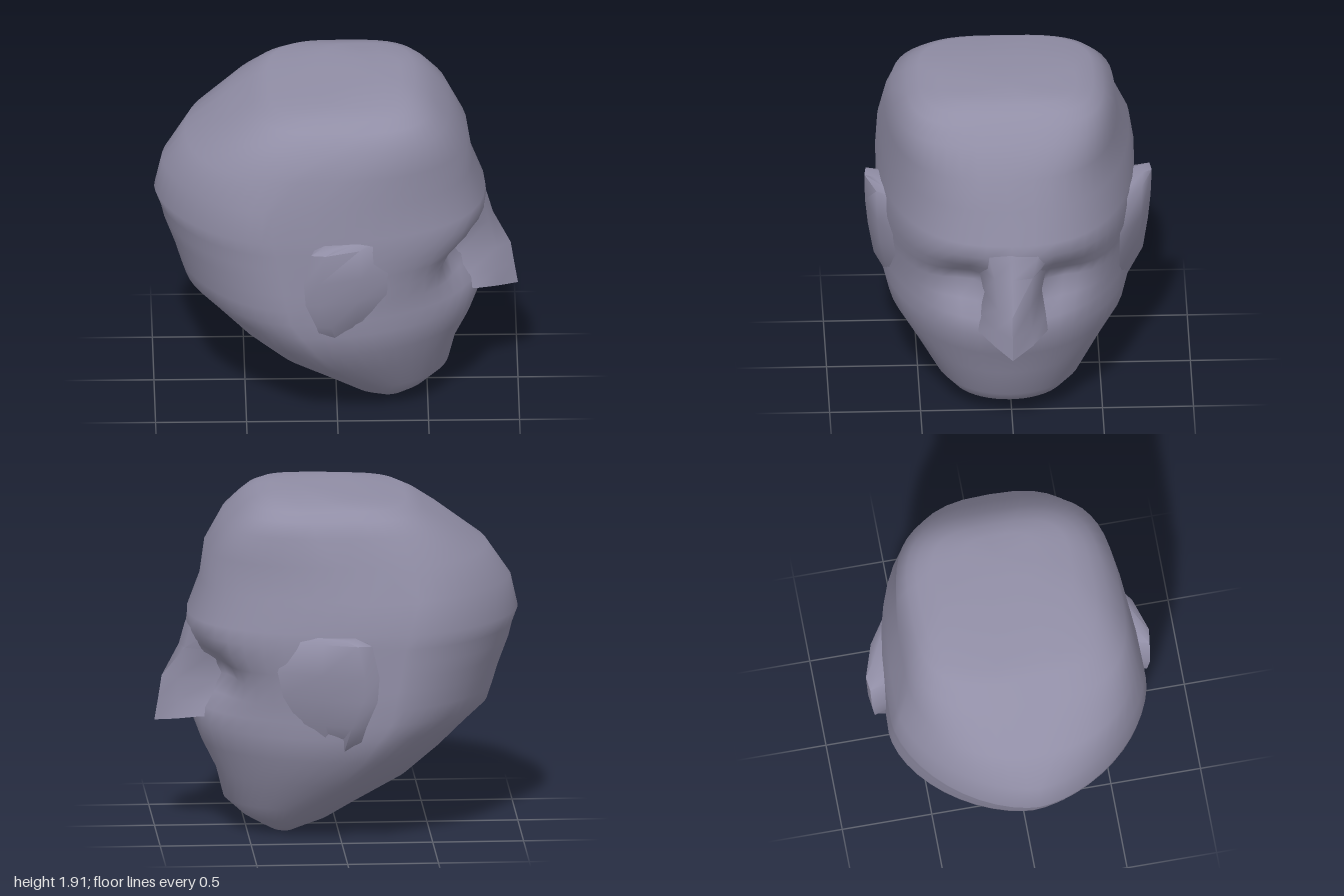
import * as THREE from 'three';
import { toCreasedNormals } from 'three/addons/utils/BufferGeometryUtils.js';

// Skin closed rings of [x, y, z], listed bottom to top, and cap both ends
function loft(rings) {
  const n = rings[0].length, pos = rings.flat(2), idx = [];
  for (let i = 0; i < rings.length - 1; i++) {
    for (let j = 0; j < n; j++) {
      const a = i * n + j, b = i * n + (j + 1) % n;
      idx.push(a, a + n, b, b, a + n, b + n);
    }
  }
  [0, rings.length - 1].forEach((r, end) => {
    const c = pos.length / 3;
    for (let k = 0; k < 3; k++) pos.push(rings[r].reduce((s, p) => s + p[k], 0) / n);
    for (let j = 0; j < n; j++) {
      const a = r * n + j, b = r * n + (j + 1) % n;
      if (end) idx.push(a, c, b); else idx.push(a, b, c);
    }
  });
  const g = new THREE.BufferGeometry();
  g.setAttribute('position', new THREE.Float32BufferAttribute(pos, 3));
  g.setIndex(idx);
  g.computeVertexNormals();
  return g;
}

// Skull and jaw levels: y, back x, front x, half width
const levels = [
  [0.005, 0.22, 0.38, 0.18],
  [0.03, 0.16, 0.43, 0.23],
  [0.08, 0.03, 0.52, 0.31],
  [0.17, -0.12, 0.62, 0.40],
  [0.33, -0.40, 0.66, 0.53],
  [0.49, -0.59, 0.74, 0.65],
  [0.62, -0.73, 0.79, 0.69],
  [0.71, -0.83, 0.80, 0.70],
  [0.80, -0.86, 0.80, 0.71],
  [0.90, -0.89, 0.80, 0.71],
  [0.98, -0.92, 0.81, 0.71],
  [1.06, -0.95, 0.83, 0.71],
  [1.14, -0.97, 0.83, 0.71],
  [1.22, -1.00, 0.82, 0.71],
  [1.40, -0.96, 0.75, 0.69],
  [1.58, -0.83, 0.72, 0.64],
  [1.74, -0.59, 0.62, 0.61],
  [1.82, -0.47, 0.54, 0.54],
  [1.865, -0.38, 0.49, 0.48],
  [1.895, -0.10, 0.43, 0.38],
  [1.912, 0.08, 0.36, 0.2],
];

function headRing([y, back, front, w]) {
  const ring = [], n = 48, step = THREE.MathUtils.smoothstep;
  // Rounded jaw, tapered back of the skull and boxy crown
  const crown = step(y, 1.4, 1.87);
  const frontPow = 2 + 0.5 * step(y, 0.7, 1.2) + 0.8 * crown;
  const backPow = 2.1 - 0.4 * step(y, 0.1, 0.7) + 1.5 * crown;
  const mid = back + (front - back) * (0.45 - 0.1 * step(y, 0, 0.6) + 0.13 * crown);
  const shift = 0.01 + 0.03 * Math.exp(-(((y - 1.62) / 0.2) ** 2));
  for (let j = 0; j < n; j++) {
    const t = (j / n) * Math.PI * 2, c = Math.cos(t), s = Math.sin(t);
    const e = 2 / (c > 0 ? frontPow : backPow);
    const reach = c > 0 ? front - mid : mid - back;
    let x = mid + Math.sign(c) * Math.abs(c) ** e * reach;
    const z = shift + Math.sign(s) * Math.abs(s) ** e * w;
    // Eye sockets, fading gently toward the temples
    const d = Math.abs(z) - 0.22;
    if (x > 0.2) x -= 0.16 * Math.exp(-((d / (d > 0 ? 0.22 : 0.14)) ** 2) - ((y - 0.91) / 0.15) ** 2);
    ring.push([x, y, z]);
  }
  return ring;
}

// Nose levels: ridge y, side y, ridge x, shoulder x, root x, half width
function noseGeometry() {
  const rows = [
    [0.6, 0.66, 1.0, 0.89, 0.77, 0.19],
    [0.72, 0.74, 0.98, 0.88, 0.72, 0.18],
    [0.85, 0.86, 0.96, 0.88, 0.67, 0.16],
    [1.03, 1.03, 0.865, 0.84, 0.68, 0.19],
    [1.14, 1.14, 0.835, 0.815, 0.72, 0.24],
    [1.24, 1.24, 0.80, 0.78, 0.72, 0.24],
  ];
  return loft(rows.map(([y, sideY, ridge, shoulder, root, w]) => {
    const my = (y + sideY) / 2;
    return [[ridge, y, 0.01], [shoulder, my, w * 0.55], [root, sideY, w],
      [0.5, sideY, w], [0.5, sideY, -w], [root, sideY, -w], [shoulder, my, -w * 0.55]];
  }));
}

// Ear levels: y, front x, back x, outer z
function earGeometry(side) {
  const rows = [
    [0.54, 0.10, -0.08, 0.64],
    [0.71, 0.24, -0.12, 0.74],
    [0.86, 0.33, -0.18, 0.77],
    [1.0, 0.36, -0.19, 0.785],
    [1.18, 0.30, -0.15, 0.79],
    [1.205, 0.24, -0.08, 0.74],
  ];
  return loft(rows.map(([y, front, back, z]) => {
    const ring = [[front, y, 0.6], [(front + back) / 2 + 0.04, y, z - 0.06],
      [back + 0.08, y, z], [back, y, z - 0.01], [back + 0.05, y, 0.6]];
    return side > 0 ? ring : ring.map(([x, h, d]) => [x, h, -d]).reverse();
  }));
}

export function createModel() {
  const group = new THREE.Group();
  const skin = new THREE.MeshStandardMaterial({ color: 0x918ea6 });
  skin.name = 'greyLavender';
  const add = (name, geometry) => {
    const mesh = new THREE.Mesh(geometry, skin);
    mesh.name = name;
    group.add(mesh);
  };
  add('head', loft(levels.map(headRing)));
  add('nose', toCreasedNormals(noseGeometry(), 1.1));
  add('earPositiveZ', toCreasedNormals(earGeometry(1), 1.1));
  add('earNegativeZ', toCreasedNormals(earGeometry(-1), 1.1));
  return group;
}
